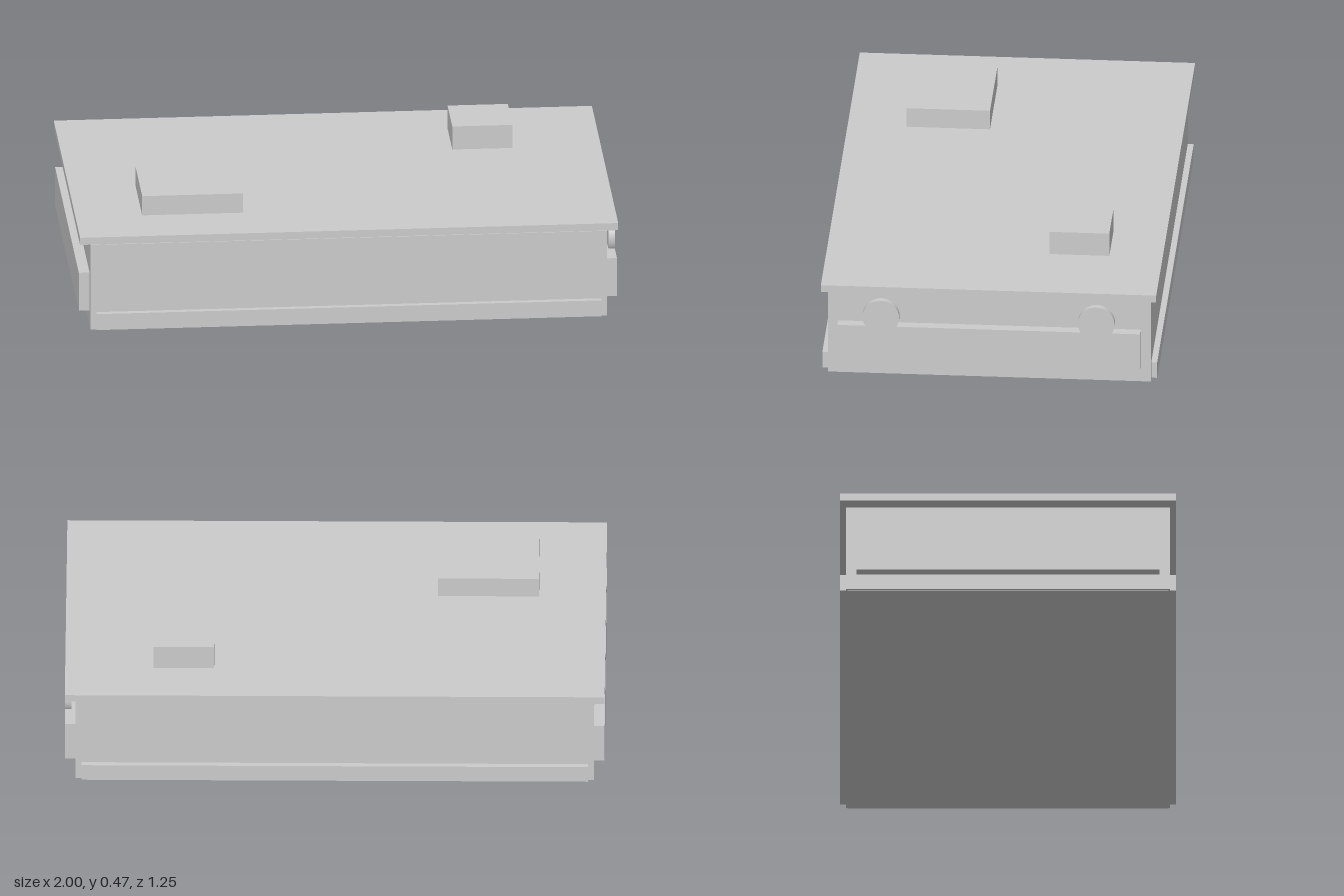
import * as THREE from 'three';

const material = new THREE.MeshStandardMaterial({ color: 0xcccccc });

// Box given by its minimum and maximum corners.
function box(name, [x0, y0, z0], [x1, y1, z1]) {
  const mesh = new THREE.Mesh(new THREE.BoxGeometry(x1 - x0, y1 - y0, z1 - z0), material);
  mesh.name = name;
  mesh.position.set((x0 + x1) / 2, (y0 + y1) / 2, (z0 + z1) / 2);
  return mesh;
}

export function createModel() {
  const model = new THREE.Group();
  model.name = 'casing';

  // Main body, with the lid held just above it
  model.add(box('body', [-0.96, 0.003, -0.6], [0.96, 0.337, 0.6]));
  model.add(box('basePlate', [-0.955, 0, -0.595], [0.955, 0.003, 0.595]));
  model.add(box('lid', [-1, 0.347, -0.623], [1, 0.375, 0.623]));

  // Raised blocks on the lid
  model.add(box('wideBlock', [-0.752, 0.375, 0.094], [-0.378, 0.451, 0.404]));
  model.add(box('smallBlock', [0.448, 0.375, -0.425], [0.672, 0.466, -0.202]));

  // Low rails along the front and back
  model.add(box('frontRail', [-0.938, 0.008, 0.6], [0.938, 0.071, 0.622]));
  model.add(box('backRail', [-0.938, 0.008, -0.622], [0.938, 0.071, -0.6]));

  // Side panels
  model.add(box('leftPanel', [0.96, 0.064, -0.562], [1, 0.214, 0.562]));
  model.add(box('rightPanel', [-1, 0.064, -0.562], [-0.96, 0.214, 0.562]));

  // Round discs rising from the left panel; the arc is cut off at the panel's top edge
  const radius = 0.068, centreY = 0.25, cutY = 0.214;
  const cut = Math.asin((cutY - centreY) / radius);
  const outline = new THREE.Shape();
  outline.absarc(0, 0, radius, cut, Math.PI - cut, false);
  outline.closePath();
  const discGeometry = new THREE.ExtrudeGeometry(outline, { depth: 0.024, bevelEnabled: false, curveSegments: 40 });
  discGeometry.rotateY(Math.PI / 2);
  for (const z of [0.4, -0.4]) {
    const disc = new THREE.Mesh(discGeometry, material);
    disc.name = z > 0 ? 'frontDisc' : 'backDisc';
    disc.position.set(0.976, centreY, z);
    model.add(disc);
  }
  return model;
}
